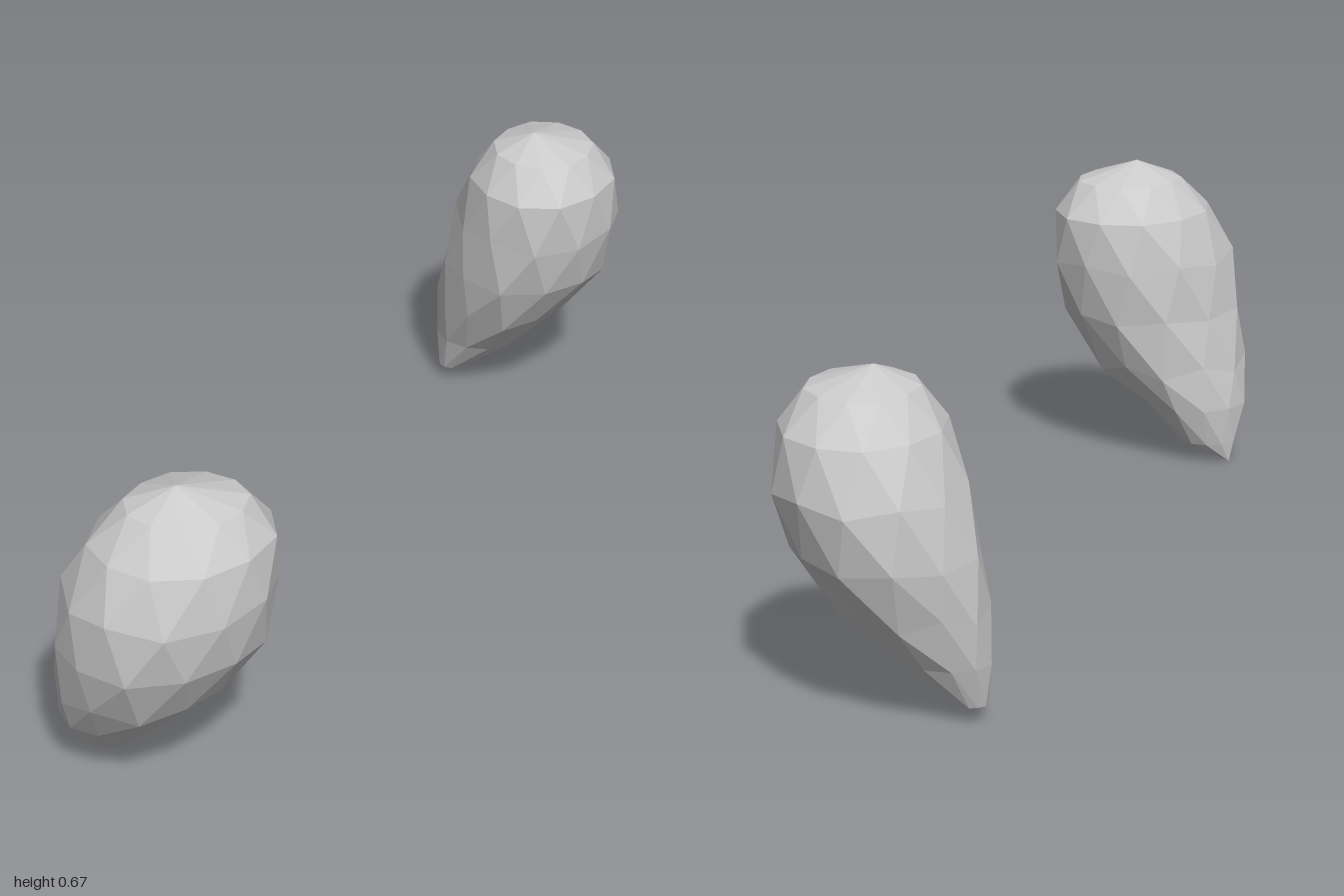
import * as THREE from 'three';

const SIDES = 11;

// Lofts a faceted, leaning teardrop pebble.
// Each ring is [y, xMin, xMax, zMin, zMax]; tip and crown are the closing points.
function pebbleGeometry(tip, rings, crown, skew) {
  const loops = rings.map(([y, x0, x1, z0, z1], j) => {
    const loop = [];
    const rx = (x1 - x0) / 2, rz = (z1 - z0) / 2;
    const tilt = j > 1 && j < rings.length - 2 ? 0.012 : 0;
    for (let i = 0; i < SIDES; i++) {
      const a = ((i + j * 0.5) / SIDES) * Math.PI * 2;
      const r = 1.015 + 0.02 * Math.sin(i * 2.4 + j * 1.7); // uneven facets
      const x = Math.cos(a) * rx * r;
      const z = Math.sin(a) * rz * r * (1 - Math.abs(skew) * 0.1) + skew * x;
      loop.push([(x0 + x1) / 2 + x, y + tilt * Math.sin(i * 3.1 + j), (z0 + z1) / 2 + z]);
    }
    return loop;
  });

  const positions = [];
  const face = (...corners) => corners.forEach((c) => positions.push(...c));
  const last = loops[loops.length - 1];
  for (let i = 0; i < SIDES; i++) {
    const n = (i + 1) % SIDES;
    face(tip, loops[0][i], loops[0][n]);
    for (let j = 0; j < loops.length - 1; j++) {
      const low = loops[j], up = loops[j + 1];
      face(low[i], up[i], low[n]);
      face(low[n], up[i], up[n]);
    }
    face(crown, last[n], last[i]);
  }
  const geometry = new THREE.BufferGeometry();
  geometry.setAttribute('position', new THREE.Float32BufferAttribute(positions, 3));
  geometry.computeVertexNormals();
  return geometry;
}

export function createModel() {
  const group = new THREE.Group();
  group.name = 'pebblePair';
  const material = new THREE.MeshStandardMaterial({ color: 0xcccccc, flatShading: true });

  // Front pebble: sharp tip, crown swung toward +x
  const front = new THREE.Mesh(pebbleGeometry(
    [-0.19, 0, 0.78],
    [
      [0.045, -0.2, -0.08, 0.74, 0.83],
      [0.13, -0.21, 0.0, 0.7, 0.9],
      [0.22, -0.2, 0.11, 0.665, 0.95],
      [0.34, -0.18, 0.185, 0.635, 0.99],
      [0.46, -0.16, 0.21, 0.62, 0.995],
      [0.565, -0.115, 0.205, 0.625, 0.955],
      [0.635, -0.055, 0.16, 0.68, 0.89],
    ],
    [0.04, 0.673, 0.8], -0.15), material);
  front.name = 'frontPebble';

  // Back pebble: slightly shorter and blunter at the tip
  const back = new THREE.Mesh(pebbleGeometry(
    [-0.17, 0.027, -0.78],
    [
      [0.035, -0.19, -0.13, -0.81, -0.75],
      [0.12, -0.2, -0.02, -0.86, -0.72],
      [0.22, -0.195, 0.09, -0.92, -0.675],
      [0.33, -0.18, 0.17, -0.975, -0.64],
      [0.45, -0.15, 0.2, -0.995, -0.625],
      [0.56, -0.11, 0.195, -0.965, -0.625],
      [0.63, -0.06, 0.15, -0.9, -0.675],
    ],
    [0.03, 0.665, -0.77], 0.03), material);
  back.name = 'backPebble';

  group.add(front, back);
  return group;
}
